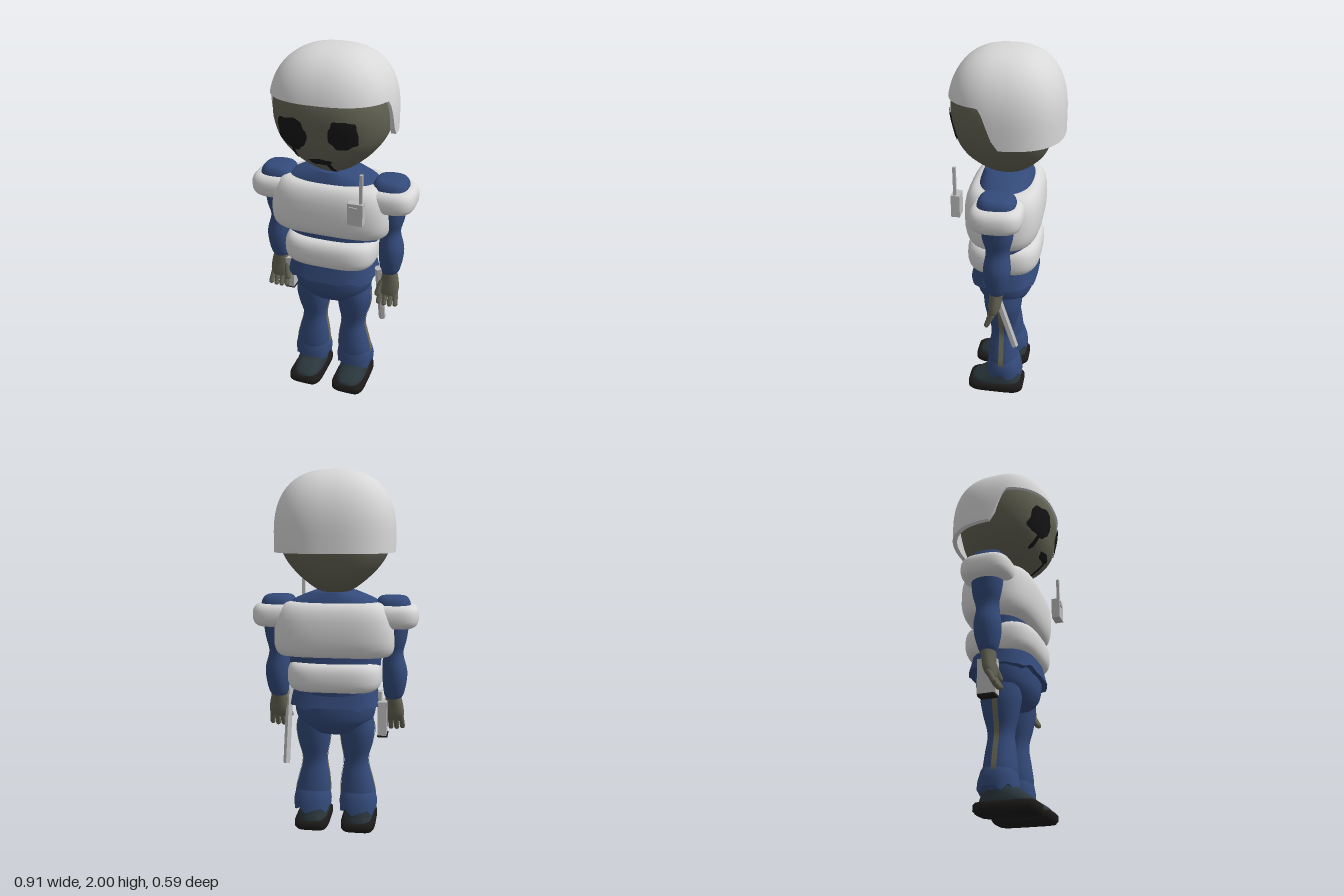
import * as THREE from 'three';
import { toCreasedNormals } from 'three/addons/utils/BufferGeometryUtils.js';

const paint = (name, color, side = THREE.FrontSide) => {
  const m = new THREE.MeshStandardMaterial({ color, side });
  m.name = name;
  return m;
};

// Cross-section coordinate on a rounded rectangle of power p
const power = (v, p) => Math.sign(v) * Math.abs(v) ** (2 / p);

// Catmull-Rom refinement of rows [y, cx, cz, rx, rz, p]
function smooth(rows, n = 4) {
  const out = [];
  const at = i => rows[Math.min(Math.max(i, 0), rows.length - 1)];
  for (let i = 0; i < rows.length - 1; i++) {
    for (let k = 0; k < n; k++) {
      const t = k / n, a = at(i - 1), b = at(i), c = at(i + 1), d = at(i + 2);
      out.push(b.map((v, j) => {
        const cubic = 3 * (v - c[j]) + d[j] - a[j];
        const square = 2 * a[j] - 5 * v + 4 * c[j] - d[j];
        return v + 0.5 * t * (c[j] - a[j] + t * (square + t * cubic));
      }));
    }
  }
  out.push(at(rows.length - 1));
  return out;
}

function build(pos, idx) {
  const g = new THREE.BufferGeometry();
  g.setAttribute('position', new THREE.Float32BufferAttribute(pos, 3));
  g.setIndex(idx);
  g.computeVertexNormals();
  return g;
}

// Closed body through rows from bottom to top; jag shifts the bottom rim by angle
function loft(rows, { seg = 40, jag = () => 0 } = {}) {
  const pos = [], idx = [], last = rows.length - 1;
  rows.forEach(([y, cx, cz, rx, rz, p], i) => {
    for (let j = 0; j < seg; j++) {
      const a = j / seg * Math.PI * 2;
      pos.push(cx + rx * power(Math.cos(a), p), y + (i < 2 ? jag(a) : 0), cz + rz * power(Math.sin(a), p));
      if (i === last) continue;
      const k = i * seg + j, n = i * seg + (j + 1) % seg;
      idx.push(k, k + seg, n, n, k + seg, n + seg);
    }
  });
  const c = pos.length / 3;
  pos.push(rows[0][1], rows[0][0], rows[0][2], rows[last][1], rows[last][0], rows[last][2]);
  for (let j = 0; j < seg; j++) {
    const n = (j + 1) % seg;
    idx.push(c, j, n, c + 1, last * seg + n, last * seg + j);
  }
  return toCreasedNormals(build(pos, idx), 0.9);
}

// Cushion-like rows with a rounded edge; taper changes the width upwards
function puff(y0, y1, cx, cz, rx, rz, edge, p, taper = 0) {
  const rows = [];
  for (let k = 0; k <= 12; k++) {
    const a = (k / 12 - 0.5) * Math.PI, inset = edge * (1 - Math.cos(a));
    const y = (y0 + y1) / 2 + (y1 - y0) / 2 * power(Math.sin(a), 2.6);
    rows.push([y, cx, cz, rx - inset + taper * Math.sin(a), rz - inset, p]);
  }
  return rows;
}

// Helmet shell: the rim is high over the face and low round the back
function helmetGeometry() {
  const seg = 96, n = 22, pos = [], idx = [];
  for (let i = 0; i <= n + 1; i++) {
    for (let j = 0; j < seg; j++) {
      const a = j / seg * Math.PI * 2;
      const dx = power(Math.cos(a), 2.5), dz = power(Math.sin(a), 2.5);
      const rim = 1.57 + 0.2 * THREE.MathUtils.smoothstep(dz * 0.3, 0, 0.11);
      const u = Math.min(i / n, 1), y = 2 - (2 - rim) * u * u;
      const h = THREE.MathUtils.clamp((y - 1.65) / 0.35, 0, 1);
      const r = (1 - h ** 2.5) ** 0.4 * (i > n ? 0.92 : 1);
      pos.push(0.325 * r * dx, y, 0.3 * r * dz);
      if (i > n) continue;
      const k = i * seg + j, m = i * seg + (j + 1) % seg;
      idx.push(k, m, k + seg, m, m + seg, k + seg);
    }
  }
  return toCreasedNormals(build(pos, idx), 0.8);
}

const headRows = smooth([
  [1.345, 0, 0, 0.03, 0.05, 2], [1.37, 0, 0, 0.1, 0.11, 2.1], [1.44, 0, 0.005, 0.19, 0.195, 2.2],
  [1.52, 0, 0.01, 0.26, 0.24, 2.3], [1.6, 0, 0.01, 0.295, 0.26, 2.4], [1.7, 0, 0.01, 0.305, 0.276, 2.4],
  [1.8, 0, 0, 0.285, 0.268, 2.4], [1.88, 0, 0, 0.2, 0.2, 2.3]]);

// Depth of the face surface at x, y
function faceZ(x, y) {
  const i = Math.max(1, headRows.findIndex(r => r[0] >= y));
  const a = headRows[i - 1], b = headRows[i];
  const t = THREE.MathUtils.clamp((y - a[0]) / (b[0] - a[0]), 0, 1);
  const [, , cz, rx, rz, p] = a.map((v, k) => v + (b[k] - v) * t);
  return cz + rz * Math.max(0, 1 - Math.abs(x / rx) ** p) ** (1 / p);
}

// Ragged thin patch that follows the face
function stain(cx, cy, rx, ry, rough = 0.06, p = 2.6) {
  const seg = 36, rings = 6, pos = [cx, cy, faceZ(cx, cy) + 0.006], idx = [];
  for (let i = 1; i <= rings; i++) {
    for (let j = 0; j < seg; j++) {
      const a = j / seg * Math.PI * 2;
      const r = i / rings * (1 + rough * (Math.sin(a * 5 + cx * 30) + 0.6 * Math.sin(a * 9 + 1)));
      const x = cx + rx * r * power(Math.cos(a), p), y = cy + ry * r * power(Math.sin(a), p);
      pos.push(x, y, faceZ(x, y) + 0.006);
      const k = 1 + (i - 1) * seg + j, m = 1 + (i - 1) * seg + (j + 1) % seg;
      if (i === 1) idx.push(0, k, m);
      else idx.push(k - seg, k, m, k - seg, m, m - seg);
    }
  }
  return build(pos, idx);
}

export function createModel() {
  const model = new THREE.Group();
  const white = paint('armour white', 0xd8d8d8, THREE.DoubleSide);
  const blue = paint('uniform blue', 0x334a7a);
  const skin = paint('grey green skin', 0x626253);
  const black = paint('black stain', 0x161616, THREE.DoubleSide);
  const boot = paint('boot slate', 0x2b373d);
  const sole = paint('sole black', 0x1c1a19);
  const grey = paint('equipment grey', 0xbcbcbc);
  const stripe = paint('stripe khaki', 0x6a6958, THREE.DoubleSide);

  const add = (name, geo, mat, parent = model) => {
    const m = new THREE.Mesh(geo, mat);
    m.name = name;
    parent.add(m);
    return m;
  };
  const box = (name, mat, x, y, z, w, h, d, parent) =>
    add(name, new THREE.BoxGeometry(w, h, d), mat, parent).position.set(x, y, z);
  const finger = (name, a, b, r, parent) => {
    const from = new THREE.Vector3(...a), to = new THREE.Vector3(...b), dir = to.clone().sub(from);
    const m = add(name, new THREE.CapsuleGeometry(r, dir.length(), 4, 10), skin, parent);
    m.position.copy(from).lerp(to, 0.5);
    m.quaternion.setFromUnitVectors(new THREE.Vector3(0, 1, 0), dir.normalize());
  };

  // Head
  add('head', loft(headRows, { seg: 64 }), skin);
  add('helmet', helmetGeometry(), white);
  add('rightEye', stain(-0.14, 1.61, 0.085, 0.085), black);
  add('leftEye', stain(0.13, 1.625, 0.07, 0.075), black);
  add('eyeDrip', stain(-0.137, 1.5, 0.011, 0.045, 0.02, 4), black);
  add('mouth', stain(0, 1.46, 0.058, 0.02, 0.08), black);
  add('mouthDrip', stain(0.04, 1.41, 0.011, 0.048, 0.02, 4), black);

  // Torso, armour and shirt hem
  add('torso', loft(smooth([
    [0.74, 0, 0, 0.21, 0.15, 2.6], [0.85, 0, 0, 0.24, 0.165, 2.6], [1, 0, 0, 0.255, 0.15, 2.6],
    [1.1, 0, 0, 0.265, 0.16, 2.6], [1.25, 0, 0, 0.275, 0.15, 2.6], [1.31, 0, 0, 0.235, 0.14, 2.4],
    [1.36, 0, 0, 0.12, 0.12, 2.2]])), blue);
  add('chestArmour', loft(puff(1.01, 1.305, 0, 0.005, 0.33, 0.205, 0.06, 3.4, -0.02), { seg: 64 }), white);
  add('bellyArmour', loft(puff(0.82, 0.98, 0, 0.008, 0.26, 0.2, 0.045, 3.4), { seg: 64 }), white);
  add('shirtHem', loft([
    [0.735, 0, 0.01, 0.21, 0.15, 3], [0.735, 0, 0.01, 0.25, 0.185, 3], [0.78, 0, 0.01, 0.24, 0.175, 3],
    [0.83, 0, 0.01, 0.228, 0.165, 3]], { seg: 60, jag: a => 0.007 * Math.sin(a * 7) + 0.004 * Math.sin(a * 13) }), blue);
  add('hips', loft(smooth([
    [0.56, 0, 0.01, 0.08, 0.06, 2.2], [0.58, 0, 0.01, 0.14, 0.11, 2.2], [0.64, 0, 0.01, 0.205, 0.15, 2.3],
    [0.7, 0, 0.01, 0.225, 0.16, 2.4], [0.76, 0, 0.01, 0.225, 0.16, 2.5]])), blue);

  for (const s of [1, -1]) {
    const label = s > 0 ? 'left' : 'right';
    const arm = new THREE.Group(), leg = new THREE.Group();
    arm.name = label + 'Arm';
    leg.name = label + 'Leg';
    model.add(arm, leg);

    // Shoulder pad, cap and sleeve
    add('shoulderPad', loft(puff(1.165, 1.29, s * 0.31, 0.008, 0.145, 0.138, 0.045, 3.2)), white, arm);
    add('shoulderCap', loft(puff(1.2, 1.335, s * 0.315, 0.008, 0.095, 0.1, 0.04, 2.8)), blue, arm);
    add('sleeve', loft(smooth([
      [0.765, s * 0.322, 0.012, 0.04, 0.038, 2], [0.79, s * 0.325, 0.012, 0.054, 0.05, 2],
      [0.86, s * 0.328, 0.01, 0.066, 0.068, 2], [0.93, s * 0.328, 0.008, 0.068, 0.072, 2],
      [1.02, s * 0.318, 0.005, 0.056, 0.062, 2], [1.1, s * 0.325, 0.005, 0.066, 0.08, 2],
      [1.2, s * 0.325, 0.005, 0.08, 0.09, 2]])), blue, arm);

    // Hand
    add('palm', loft(smooth([
      [0.635, s * 0.328, 0.035, 0.045, 0.02, 2.4], [0.67, s * 0.328, 0.025, 0.055, 0.03, 2.4],
      [0.72, s * 0.326, 0.018, 0.052, 0.034, 2.2], [0.78, s * 0.323, 0.012, 0.042, 0.04, 2]]), { seg: 24 }), skin, arm);
    for (let k = 0; k < 4; k++) {
      const x = s * (0.284 + k * 0.028);
      finger('finger', [x, 0.65, 0.03], [x + s * (k - 1.5) * 0.004, 0.592 - (k % 3 ? 0.006 : 0), 0.06], 0.0145, arm);
    }
    finger('thumb', [s * 0.285, 0.71, 0.03], [s * 0.268, 0.64, 0.055], 0.016, arm);

    // Trouser leg, side stripes and torn cuff
    const legRows = smooth([
      [0.1, s * 0.13, 0.005, 0.075, 0.07, 2.2], [0.2, s * 0.13, 0.01, 0.098, 0.085, 2.2],
      [0.3, s * 0.122, 0.01, 0.086, 0.078, 2.2], [0.4, s * 0.118, 0.01, 0.068, 0.068, 2.2],
      [0.5, s * 0.122, 0.01, 0.088, 0.09, 2.2], [0.58, s * 0.124, 0.01, 0.097, 0.105, 2.2],
      [0.66, s * 0.12, 0.01, 0.09, 0.11, 2.2]]);
    add('trouserLeg', loft(legRows), blue, leg);
    for (const e of [1, -1]) {
      const pos = [], idx = [];
      legRows.filter(r => r[0] > 0.14 && r[0] < 0.63).forEach(([y, cx, cz, rx], i) => {
        const x = cx + e * (rx + 0.003);
        pos.push(x, y, cz + e * 0.014, x, y, cz - e * 0.014);
        if (i) idx.push(2 * i - 2, 2 * i - 1, 2 * i, 2 * i - 1, 2 * i + 1, 2 * i);
      });
      add('sideStripe', build(pos, idx), stripe, leg);
    }
    add('tornCuff', loft([
      [0.115, s * 0.132, 0, 0.085, 0.08, 2.3], [0.115, s * 0.132, 0, 0.104, 0.103, 2.3],
      [0.16, s * 0.132, 0.002, 0.108, 0.1, 2.3], [0.21, s * 0.13, 0.005, 0.099, 0.088, 2.3],
      [0.24, s * 0.128, 0.008, 0.08, 0.075, 2.3]],
    { seg: 48, jag: a => 0.013 * Math.sin(a * 6 + 0.6) + 0.005 * Math.sin(a * 11) }), blue, leg);

    // Boot and sole
    add('boot', loft(smooth([
      [0.03, s * 0.132, 0.05, 0.082, 0.145, 3], [0.06, s * 0.132, 0.05, 0.082, 0.142, 2.8],
      [0.09, s * 0.132, 0.035, 0.078, 0.12, 2.5], [0.12, s * 0.132, 0.015, 0.074, 0.095, 2.3],
      [0.16, s * 0.132, 0, 0.068, 0.072, 2.2]])), boot, leg);
    add('sole', loft([
      [0, s * 0.133, 0.05, 0.088, 0.15, 5], [0.015, s * 0.133, 0.05, 0.098, 0.162, 5],
      [0.042, s * 0.133, 0.05, 0.098, 0.162, 5], [0.052, s * 0.133, 0.05, 0.09, 0.152, 5]]), sole, leg);
  }

  // Radio on the chest
  const radio = new THREE.Group();
  radio.name = 'radio';
  model.add(radio);
  box('radioBody', grey, 0.195, 1.215, 0.24, 0.08, 0.12, 0.046, radio);
  box('radioScreen', grey, 0.183, 1.245, 0.265, 0.04, 0.024, 0.008, radio);
  box('antenna', grey, 0.22, 1.35, 0.242, 0.016, 0.16, 0.016, radio);

  // Baton by the left hand, holster by the right
  const batonShape = new THREE.CylinderGeometry(0.02, 0.02, 0.43, 6).toNonIndexed();
  batonShape.computeVertexNormals();
  const baton = add('baton', batonShape, grey);
  baton.position.set(0.268, 0.595, -0.015);
  baton.rotation.x = 0.3;
  const holster = new THREE.Group();
  holster.name = 'holster';
  model.add(holster);
  box('holsterBody', grey, -0.266, 0.66, -0.01, 0.05, 0.19, 0.1, holster);
  box('holsterStrap', grey, -0.25, 0.775, 0, 0.02, 0.06, 0.05, holster);
  box('holsterBase', sole, -0.268, 0.56, -0.01, 0.056, 0.012, 0.09, holster);
  return model;
}
